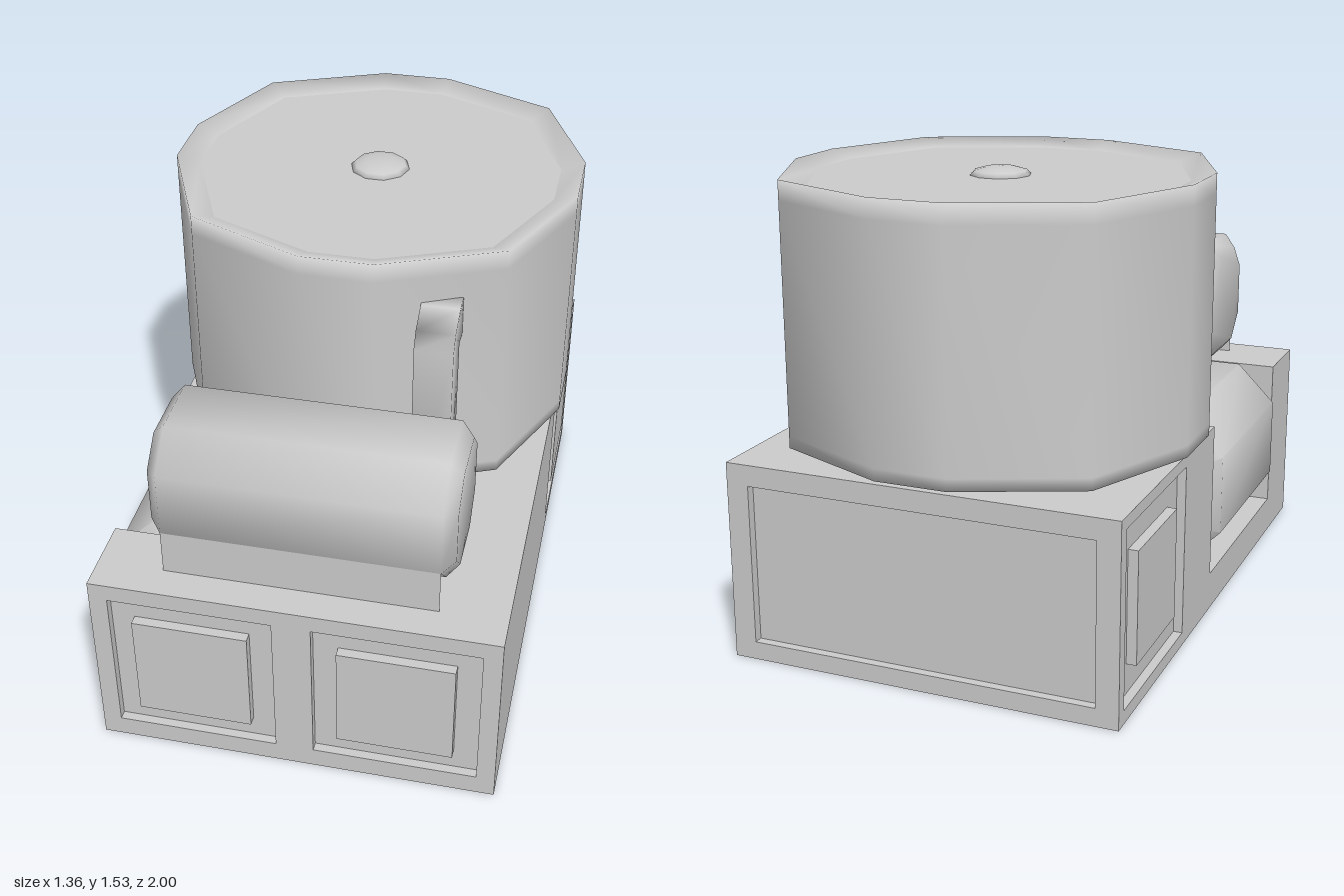
import * as THREE from 'three';
import { mergeVertices, toCreasedNormals } from 'three/addons/utils/BufferGeometryUtils.js';

const mat = new THREE.MeshStandardMaterial({ color: 0xcccccc });
const thin = new THREE.MeshStandardMaterial({ color: 0xcccccc, side: THREE.DoubleSide });

const W = 0.655, H = 0.66, FRONT = 1, BACK = -0.975, D = 0.03; // base extents, panel depth
const NOTCH = { back: -0.05, front: 0.73, floor: 0.13, inner: -0.13 };
const DRUM_Z = -0.32;

const poly = (pts) => new THREE.Shape(pts.map(([x, y]) => new THREE.Vector2(x, y)));
const rect = (x0, x1, y0, y1) => poly([[x0, y0], [x1, y0], [x1, y1], [x0, y1]]);
const extrude = (shape, depth) => new THREE.ExtrudeGeometry(shape, { depth, bevelEnabled: false });

function add(parent, name, geometry, material = mat) {
  const mesh = new THREE.Mesh(geometry, material);
  mesh.name = name;
  parent.add(mesh);
  return mesh;
}

function box(parent, name, x0, x1, y0, y1, z0, z1) {
  const m = add(parent, name, new THREE.BoxGeometry(x1 - x0, y1 - y0, z1 - z0));
  m.position.set((x0 + x1) / 2, (y0 + y1) / 2, (z0 + z1) / 2);
}

// Shared normals over the whole surface
function smooth(geometry) {
  geometry.deleteAttribute('normal');
  geometry.deleteAttribute('uv');
  const g = mergeVertices(geometry, 1e-4);
  g.computeVertexNormals();
  return g;
}

// One wall of the base: a plate with openings, and raised panels in them
function wall(parent, name, outline, holes, panels, turn, x, z) {
  const g = new THREE.Group();
  g.name = name;
  holes.forEach((h) => outline.holes.push(rect(...h)));
  add(g, name + 'Frame', extrude(outline, D));
  panels.forEach((p) => add(g, name + 'Panel', extrude(rect(...p), D + 0.003)));
  g.rotation.y = turn;
  g.position.set(x, 0, z);
  parent.add(g);
}

// Eight-sided tank along z with chamfered ends, centred on the origin
function tankGeometry(r, length, chamfer, inset) {
  const h = r / 2;
  const shape = poly([[r, -h], [r, h], [h, r], [-h, r], [-r, h], [-r, -h], [-h, -r], [h, -r]]);
  const g = new THREE.ExtrudeGeometry(shape, {
    depth: length - 2 * chamfer, bevelThickness: chamfer,
    bevelSize: inset, bevelOffset: -inset, bevelSegments: 1,
  });
  g.translate(0, 0, -(length / 2 - chamfer));
  return toCreasedNormals(g, 1.1);
}

// Twelve-sided lathe whose corners sit at 10, 45 and 80 degrees of each quarter
function drumLathe(profile) {
  const g = new THREE.LatheGeometry(profile.map(([r, y]) => new THREE.Vector2(r, y)), 12);
  const p = g.attributes.position;
  for (let i = 0; i < p.count; i++) {
    const k = Math.floor(i / profile.length) % 12;
    const a = THREE.MathUtils.degToRad(Math.floor(k / 3) * 90 + [10, 45, 80][k % 3]);
    const r = profile[i % profile.length][0] * (k % 3 === 1 ? 0.722 : 0.69);
    p.setXYZ(i, r * Math.sin(a), p.getY(i), r * Math.cos(a));
  }
  return smooth(g);
}

export function createModel() {
  const model = new THREE.Group();
  model.name = 'boilerUnit';

  // Base core, with a notch on the right side
  const base = new THREE.Group();
  base.name = 'base';
  model.add(base);
  const cx = W - D, cf = FRONT - D, cb = BACK + D;
  box(base, 'baseFloor', -cx, cx, 0, NOTCH.floor, cb, cf);
  const plan = poly([[-cx, -cf], [cx, -cf], [cx, -cb], [-cx, -cb], [-cx, -NOTCH.back],
    [NOTCH.inner, -NOTCH.back], [NOTCH.inner, -NOTCH.front], [-cx, -NOTCH.front]]);
  const core = add(base, 'baseCore', extrude(plan, H - NOTCH.floor));
  core.rotation.x = -Math.PI / 2;
  core.position.y = NOTCH.floor;

  // Front, back and side walls
  wall(base, 'frontWall', rect(-W, W, 0, H),
    [[-0.595, -0.065, 0.07, 0.6], [0.06, 0.595, 0.07, 0.6]],
    [[-0.52, -0.145, 0.145, 0.52], [0.14, 0.515, 0.145, 0.52]], 0, 0, cf);
  wall(base, 'backWall', rect(-W, W, 0, H), [[-0.58, 0.58, 0.06, 0.59]], [], Math.PI, 0, cb);
  wall(base, 'leftWall', rect(-cf, -cb, 0, H),
    [[0.36, 0.93, 0.045, 0.62]], [[0.46, 0.83, 0.145, 0.515]], Math.PI / 2, cx, 0);
  const notched = poly([[cb, 0], [cf, 0], [cf, H], [NOTCH.front, H], [NOTCH.front, NOTCH.floor],
    [NOTCH.back, NOTCH.floor], [NOTCH.back, H], [cb, H]]);
  wall(base, 'rightWall', notched,
    [[-0.93, -0.36, 0.045, 0.62]], [[-0.83, -0.46, 0.145, 0.515]], -Math.PI / 2, -cx, 0);

  // Tank lying in the notch
  const sideTank = add(model, 'sideTank', tankGeometry(0.273, 0.776, 0.05, 0.06));
  sideTank.position.set(-0.4, 0.4, 0.34);

  // Tank across the front, on two thin upright plates
  const frontTank = add(model, 'frontTank', tankGeometry(0.221, 0.96, 0.04, 0.045));
  frontTank.rotation.y = Math.PI / 2;
  frontTank.position.set(0, 0.924, 0.67);
  for (const z of [0.449, 0.891]) {
    const plate = add(model, 'tankSupport', new THREE.PlaneGeometry(0.88, 0.16), thin);
    plate.position.set(0, 0.74, z);
  }

  // Large drum with a raised rim, a lid, a dome and a low foot
  const drum = new THREE.Group();
  drum.name = 'drum';
  drum.position.z = DRUM_Z;
  model.add(drum);
  add(drum, 'drumBody', drumLathe([[0, 0.68], [0.94, 0.68], [1, 0.68], [1, 0.72],
    [1, 1.47], [1, 1.535], [0.885, 1.507]]));
  add(drum, 'drumLid', drumLathe([[0.885, 1.507], [0, 1.507]]));
  const dome = add(drum, 'lidDome', new THREE.SphereGeometry(0.1, 10, 6));
  dome.scale.y = 0.28;
  dome.position.y = 1.507;
  const foot = add(drum, 'drumFoot', new THREE.CylinderGeometry(0.285, 0.285, 0.03, 12));
  foot.position.y = 0.67;

  // Square pipe rising from the base and bending into the drum
  const elbow = poly([[-0.42, 0.65], [-0.305, 0.65], [-0.305, 1.25], [-0.25, 1.25],
    [-0.25, 1.385], [-0.31, 1.38], [-0.39, 1.335], [-0.42, 1.28]]);
  const pipe = add(model, 'pipe', smooth(extrude(elbow, 0.125)));
  pipe.rotation.y = Math.PI / 2;
  pipe.position.x = 0.258;

  return model;
}
